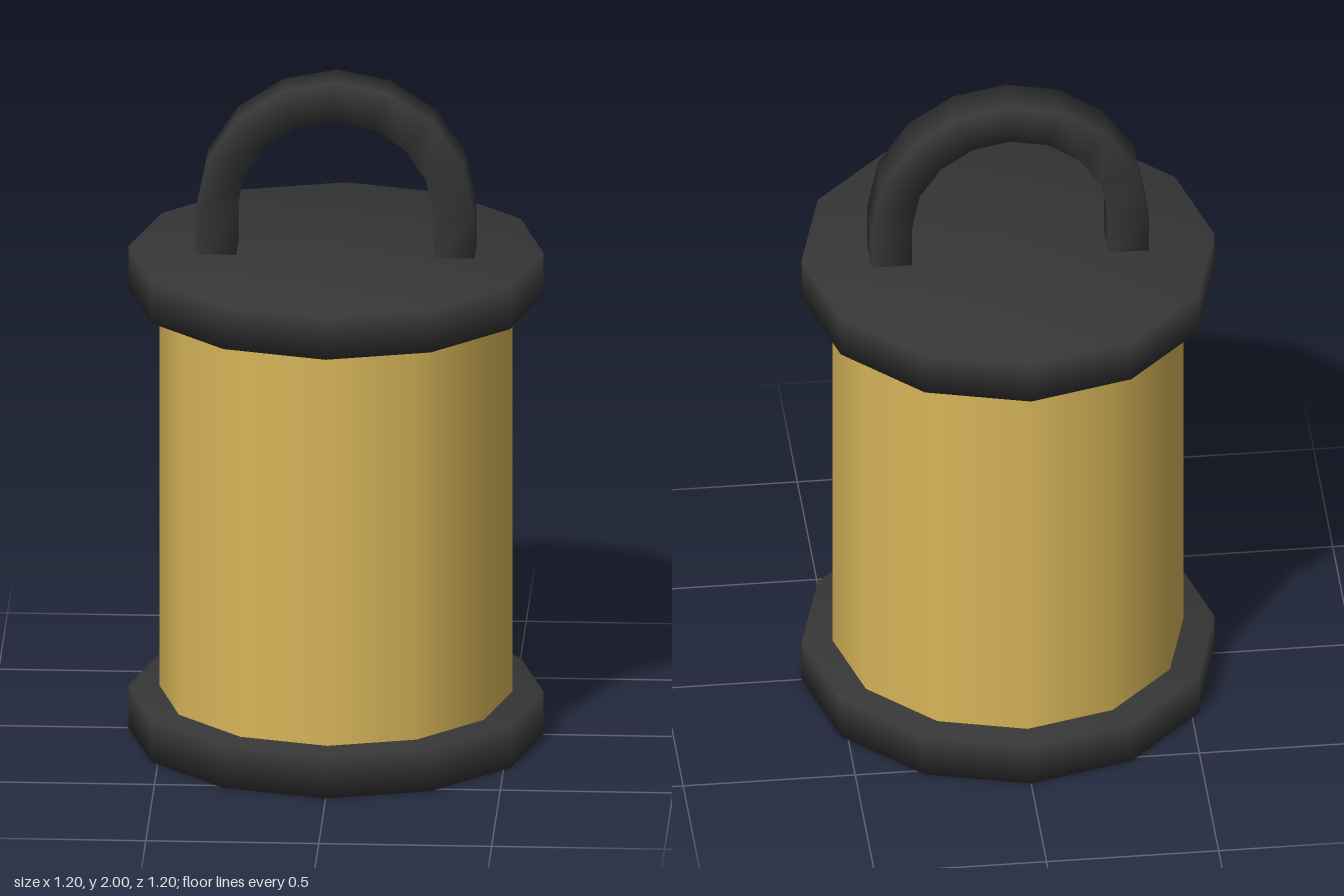
import * as THREE from 'three';
import { mergeVertices } from 'three/addons/utils/BufferGeometryUtils.js';

const SIDES = 12;

// Share vertices across edges so the shading rolls softly over the rim
function softened(geometry) {
  geometry.deleteAttribute('normal');
  geometry.deleteAttribute('uv');
  const merged = mergeVertices(geometry, 1e-4);
  merged.computeVertexNormals();
  return merged;
}

// Square bar swept up one leg, over a half circle and down the other leg
function handleGeometry() {
  const baseY = 1.45, archY = 1.6, outer = 0.403, inner = 0.285, half = 0.06, steps = 8;
  const path = [[1, 0, baseY]];
  for (let i = 0; i <= steps; i++) {
    const a = (i / steps) * Math.PI;
    path.push([Math.cos(a), Math.sin(a), archY]);
  }
  path.push([-1, 0, baseY]);

  const positions = [], index = [];
  path.forEach(([c, s, y], ring) => {
    for (const [r, z] of [[outer, half], [outer, -half], [inner, -half], [inner, half]]) {
      positions.push(c * r, y + s * (r - 0.003), z);
    }
    if (ring === 0) return;
    for (let k = 0; k < 4; k++) {
      const a = (ring - 1) * 4 + k, b = (ring - 1) * 4 + (k + 1) % 4;
      index.push(a, b, b + 4, a, b + 4, a + 4);
    }
  });
  const geometry = new THREE.BufferGeometry();
  geometry.setAttribute('position', new THREE.Float32BufferAttribute(positions, 3));
  geometry.setIndex(index);
  geometry.computeVertexNormals();
  return geometry;
}

export function createModel() {
  const model = new THREE.Group();
  model.name = 'lantern';
  const darkMetal = new THREE.MeshStandardMaterial({ name: 'dark metal', color: 0x363636 });
  const amberGlass = new THREE.MeshStandardMaterial({ name: 'amber glass', color: 0xd8b659 });

  const add = (name, geometry, material, y = 0) => {
    const mesh = new THREE.Mesh(geometry, material);
    mesh.name = name;
    mesh.position.y = y;
    model.add(mesh);
  };

  // Base and lid discs
  const disc = softened(new THREE.CylinderGeometry(0.6, 0.6, 0.13, SIDES));
  add('base', disc, darkMetal, 0.065);
  add('lid', disc, darkMetal, 1.405);

  // Glowing body between the discs
  add('body', new THREE.CylinderGeometry(0.51, 0.51, 1.23, SIDES, 1, true), amberGlass, 0.735);

  // Carrying handle
  add('handle', handleGeometry(), darkMetal);

  return model;
}
